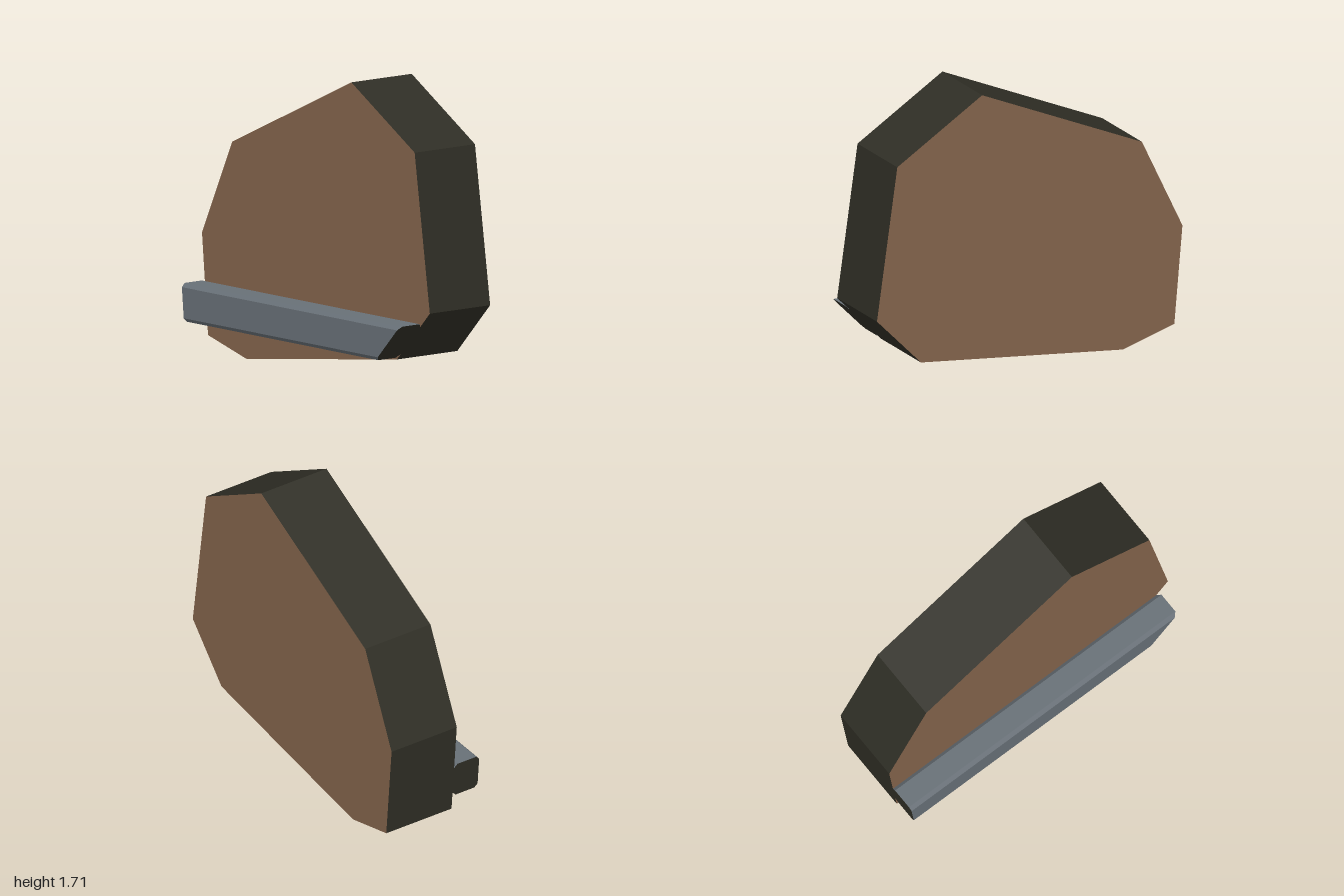
import * as THREE from 'three';

const mat = (name, color) => {
  const m = new THREE.MeshStandardMaterial({ color });
  m.name = name;
  return m;
};

const polygon = (points) => new THREE.Shape(points.map(([x, y]) => new THREE.Vector2(x, y)));

export function createModel() {
  const brown = mat('brown', 0x84644c);
  const grey = mat('steel grey', 0x687077);
  const dark = mat('dark edge', 0x2f2e25);
  const group = new THREE.Group();

  const backZ = -0.308, frontZ = 0.137, barZ = 0.308;

  // Irregular plate: brown faces, dark rim
  const plateGeo = new THREE.ExtrudeGeometry(polygon([
    [-0.61, 0], [0.71, 0.17], [0.998, 0.47], [0.865, 1.375],
    [0.31, 1.705], [-0.735, 1.228], [-1, 0.675], [-0.947, 0.092],
  ]), { depth: frontZ - backZ, bevelEnabled: false });
  plateGeo.translate(0, 0, backZ);
  const plate = new THREE.Mesh(plateGeo, [brown, dark]);
  plate.name = 'plate';
  group.add(plate);

  // Chamfered bar across the front, section drawn in (-z, y) and swept along x
  const y0 = 0.184, y1 = 0.404, c = 0.022;
  const a = -barZ, b = -frontZ;
  const barGeo = new THREE.ExtrudeGeometry(polygon([
    [a + c, y0], [b - c, y0], [b, y0 + c], [b, y1 - c],
    [b - c, y1], [a + c, y1], [a, y1 - c], [a, y0 + c],
  ]), { depth: 1, bevelEnabled: false });
  barGeo.rotateY(Math.PI / 2);

  // Slant both bar ends to follow the plate outline
  const leftEdge = (y) => -0.947 - (y - 0.092) * 0.0909;
  const rightEdge = (y) => 0.71 + (y - 0.17) * 0.96;
  const pos = barGeo.attributes.position;
  for (let i = 0; i < pos.count; i++) {
    const y = pos.getY(i);
    pos.setX(i, pos.getX(i) < 0.5 ? leftEdge(y) : rightEdge(y));
  }
  barGeo.computeVertexNormals();
  const bar = new THREE.Mesh(barGeo, [dark, grey]);
  bar.name = 'crossBar';
  group.add(bar);

  return group;
}
